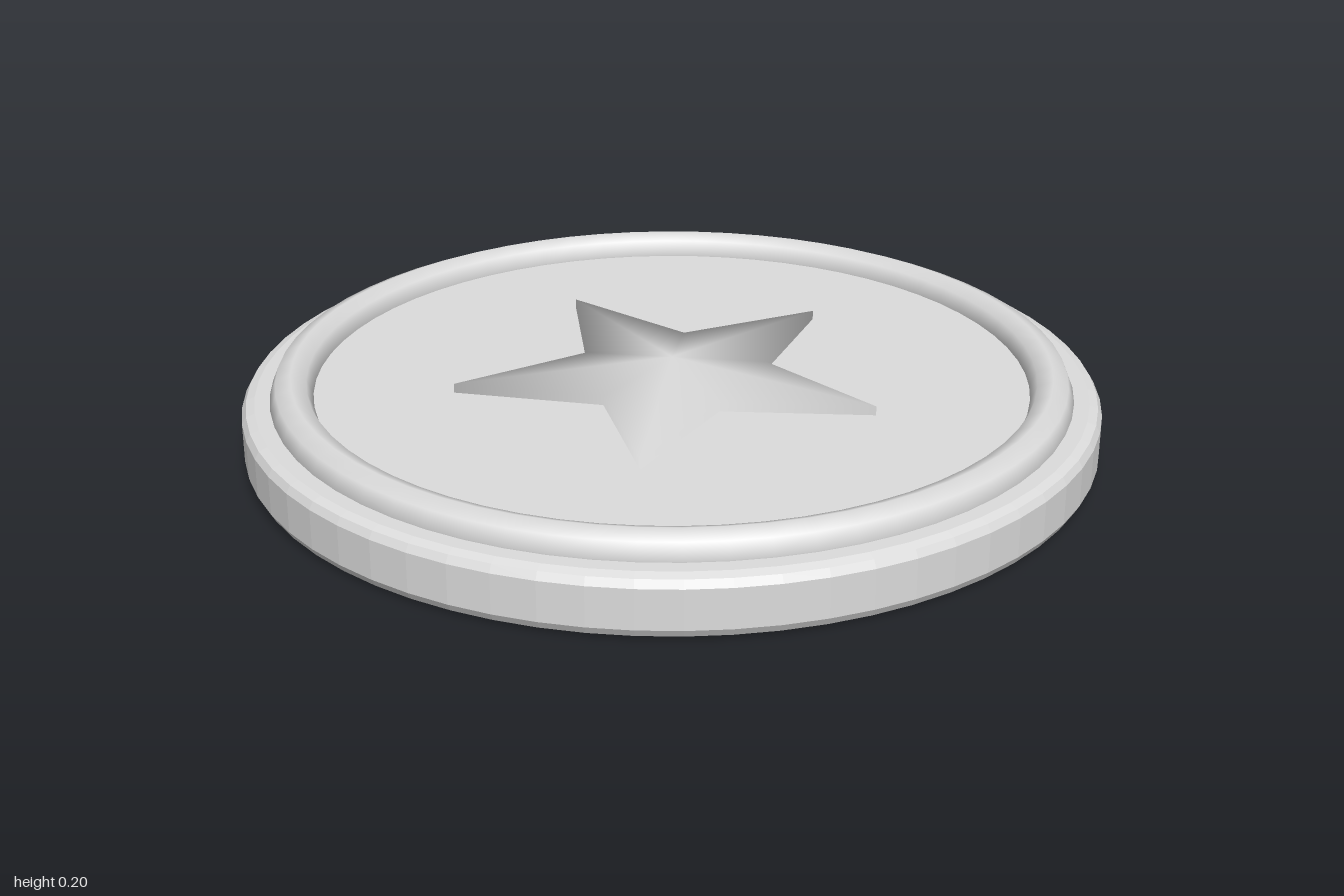
import * as THREE from 'three';

const FACE = 0.142;    // flat top of the disc
const EDGE = 0.164;    // upper edge of the star's low wall
const PEAK = 0.194;    // centre of the star

export function createModel() {
  const group = new THREE.Group();
  const silver = new THREE.MeshStandardMaterial({ color: 0xdcdcdc });
  silver.name = 'silver';
  const add = (name, geometry) => {
    const mesh = new THREE.Mesh(geometry, silver);
    mesh.name = name;
    group.add(mesh);
  };

  // Disc with rounded edges, faceted around its side
  const profile = [
    [0, 0], [0.97, 0], [0.99, 0.008], [1, 0.026],
    [1, 0.118], [0.99, 0.135], [0.97, FACE], [0, FACE],
  ].map(([r, y]) => new THREE.Vector2(r, y));
  const disc = new THREE.LatheGeometry(profile, 64).toNonIndexed();
  disc.computeVertexNormals();
  add('disc', disc);

  // Raised round rim
  const rim = new THREE.TorusGeometry(0.885, 0.05, 8, 64);
  rim.rotateX(-Math.PI / 2);
  rim.translate(0, 0.145, 0);
  add('rim', rim);

  // Star with a low wall and a softly shaded peak, first tip towards the back
  const positions = [0, PEAK, 0];
  const normals = [0, 1, 0];
  const faces = [];
  for (let i = 0; i < 10; i++) {
    const angle = (i * Math.PI) / 5;
    const r = i % 2 ? 0.227 : 0.513;
    const out = new THREE.Vector3(Math.sin(angle), 0, -Math.cos(angle));
    const normal = out.clone().setY(0.3).normalize();
    for (const y of [EDGE, FACE]) {
      positions.push(r * out.x, y, r * out.z);
      normals.push(normal.x, normal.y, normal.z);
    }
    const a = 1 + i * 2;
    const b = 1 + ((i + 1) % 10) * 2;
    faces.push(0, b, a, b + 1, a + 1, a, b + 1, a, b);
  }
  const star = new THREE.BufferGeometry();
  star.setAttribute('position', new THREE.Float32BufferAttribute(positions, 3));
  star.setAttribute('normal', new THREE.Float32BufferAttribute(normals, 3));
  star.setIndex(faces);
  add('star', star);

  return group;
}
